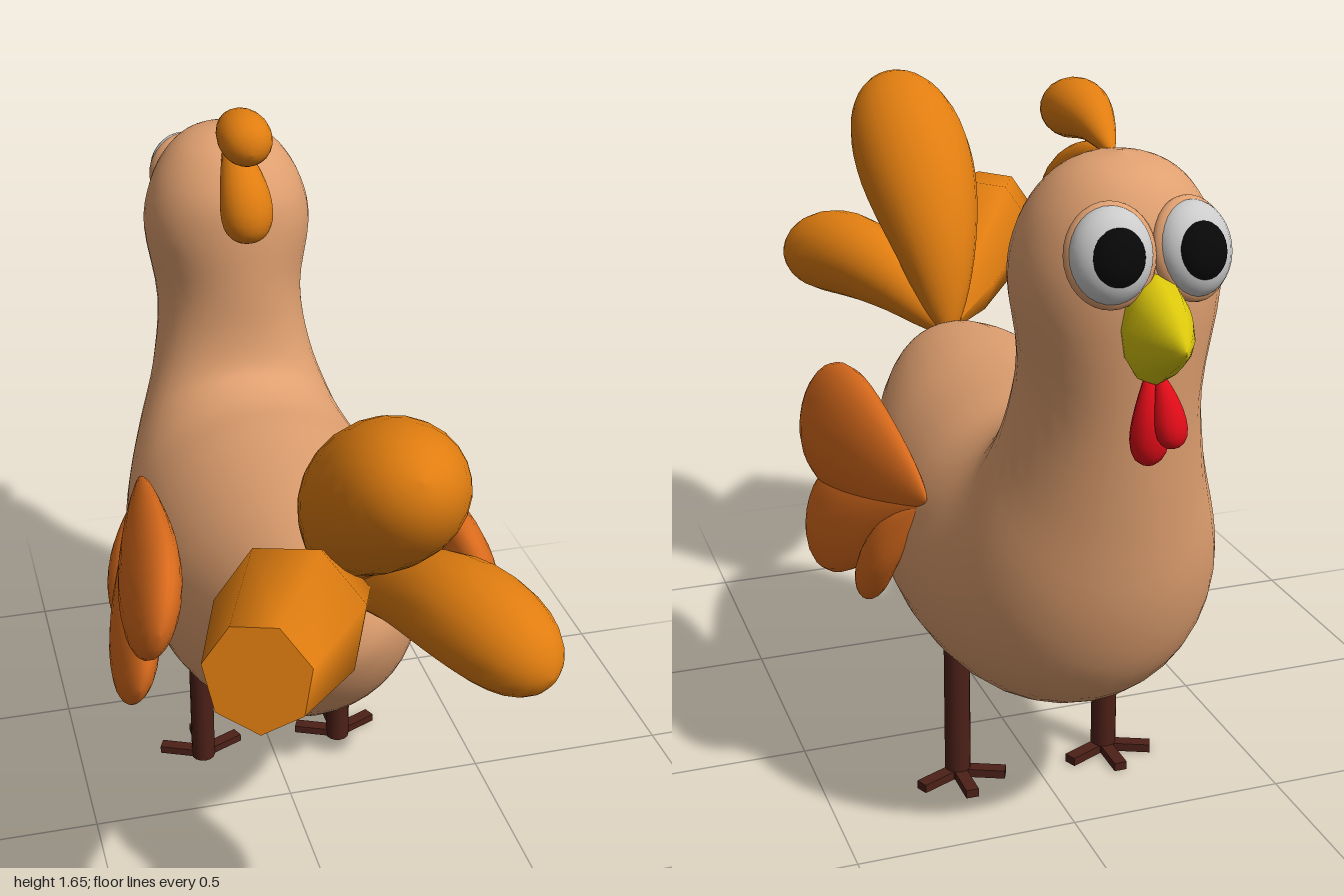
import * as THREE from 'three';

const V = (x, y, z) => new THREE.Vector3(x, y, z);
const mat = color => new THREE.MeshStandardMaterial({ color });
const SKIN = mat(0xe0a070), TAIL = mat(0xe07d10), WING = mat(0xd86a1c), LEG = mat(0x4c2018);
const BEAK = mat(0xdcc80c), RED = mat(0xe00c18), WHITE = mat(0xf0f0f0), BLACK = mat(0x080808);

// Skin a list of elliptical rings { c, u, v }, with u x v pointing along the list.
function loft(rings, sides) {
  const pos = [], index = [];
  rings.forEach(({ c, u, v }, i) => {
    for (let j = 0; j < sides; j++) {
      const a = (j / sides) * Math.PI * 2;
      const p = c.clone().addScaledVector(u, Math.cos(a)).addScaledVector(v, Math.sin(a));
      pos.push(p.x, p.y, p.z);
      if (i === rings.length - 1) continue;
      const k = (j + 1) % sides, a0 = i * sides + j, b0 = i * sides + k;
      index.push(a0, b0, a0 + sides, b0, b0 + sides, a0 + sides);
    }
  });
  const g = new THREE.BufferGeometry();
  g.setAttribute('position', new THREE.Float32BufferAttribute(pos, 3));
  g.setIndex(index);
  g.computeVertexNormals();
  return g;
}

// Loft from rows of [topZ, topY, bottomZ, bottomY, halfWidth], symmetric in x.
function profileLoft(rows, steps, sides) {
  const top = new THREE.CatmullRomCurve3(rows.map(r => V(r[4], r[1], r[0])), false, 'catmullrom');
  const low = new THREE.CatmullRomCurve3(rows.map(r => V(r[4], r[3], r[2])), false, 'catmullrom');
  const rings = [];
  for (let i = 0; i <= steps; i++) {
    const a = top.getPoint(i / steps), b = low.getPoint(i / steps);
    rings.push({
      c: V(0, (a.y + b.y) / 2, (a.z + b.z) / 2),
      u: V(-Math.max(a.x, 0), 0, 0),
      v: V(0, (a.y - b.y) / 2, (a.z - b.z) / 2),
    });
  }
  return loft(rings, sides);
}

// Teardrop feather along a path, round at the end; a lower power gives a fuller root.
function feather(points, wide, thick, side, power = 0.7, steps = 20, sides = 20) {
  const curve = new THREE.CatmullRomCurve3(points);
  const shape = t => Math.pow(t, power) * Math.sqrt(Math.max(0, 1 - Math.pow(t, 4)));
  const peak = shape(Math.pow(power / (power + 2), 0.25));
  const rings = [];
  for (let i = 0; i <= steps; i++) {
    const t = (1 - Math.cos((i / steps) * Math.PI)) / 2;
    const r = shape(t) / peak;
    const dir = curve.getTangent(t);
    const u = side.clone().addScaledVector(dir, -side.dot(dir)).normalize();
    const v = dir.clone().cross(u);
    rings.push({ c: curve.getPoint(t), u: u.multiplyScalar(wide * r), v: v.multiplyScalar(thick * r) });
  }
  return loft(rings, sides);
}

export function createModel() {
  const model = new THREE.Group();
  const add = (name, geometry, material, parent = model) => {
    const m = new THREE.Mesh(geometry, material);
    m.name = name;
    parent.add(m);
    return m;
  };

  // Body, neck and head in one skin, from rump to crown
  add('body', profileLoft([
    [0.485, 0.80, 0.485, 0.79, 0],
    [0.45, 0.875, 0.475, 0.71, 0.09],
    [0.39, 0.915, 0.41, 0.59, 0.155],
    [0.29, 0.94, 0.29, 0.46, 0.22],
    [0.15, 0.955, 0.12, 0.34, 0.28],
    [0, 0.96, -0.05, 0.28, 0.32],
    [-0.2, 0.96, -0.25, 0.267, 0.335],
    [-0.33, 0.955, -0.5, 0.31, 0.325],
    [-0.41, 0.975, -0.67, 0.42, 0.29],
    [-0.445, 1.01, -0.76, 0.6, 0.25],
    [-0.46, 1.09, -0.80, 0.82, 0.205],
    [-0.46, 1.2, -0.83, 1.05, 0.182],
    [-0.46, 1.33, -0.855, 1.28, 0.207],
    [-0.475, 1.42, -0.845, 1.41, 0.187],
    [-0.53, 1.5, -0.81, 1.49, 0.14],
    [-0.6, 1.543, -0.76, 1.535, 0.08],
    [-0.68, 1.557, -0.685, 1.557, 0],
  ], 64, 36), SKIN);

  // Beak
  add('beak', profileLoft([
    [-0.82, 1.36, -0.82, 1.16, 0.055],
    [-0.87, 1.36, -0.87, 1.155, 0.064],
    [-0.94, 1.322, -0.93, 1.195, 0.046],
    [-0.985, 1.28, -0.98, 1.23, 0.018],
    [-1.0, 1.255, -1.0, 1.25, 0],
  ], 16, 12), BEAK);

  // Wattle
  const X = V(1, 0, 0);
  add('wattleLarge', feather([V(0.005, 1.18, -0.85), V(0.008, 1.09, -0.865), V(0.008, 0.995, -0.862)], 0.038, 0.034, X, 0.7, 12, 12), RED);
  add('wattleSmall', feather([V(-0.01, 1.18, -0.86), V(-0.018, 1.11, -0.89), V(-0.022, 1.04, -0.91)], 0.032, 0.028, X, 0.7, 12, 12), RED);

  // Crest
  add('crestUpper', feather([V(0, 1.54, -0.64), V(0, 1.585, -0.54), V(0, 1.595, -0.45), V(0, 1.575, -0.36)], 0.064, 0.06, X), TAIL);
  add('crestLower', feather([V(0, 1.54, -0.63), V(0, 1.5, -0.51), V(0, 1.43, -0.43), V(0, 1.34, -0.42)], 0.063, 0.062, X), TAIL);

  // Tail: centre and left feathers are round, the right one is faceted and cut off
  add('tailFeatherCentre', feather([V(0, 0.87, 0.41), V(0, 1.09, 0.525), V(0, 1.255, 0.69), V(0, 1.425, 0.945)], 0.15, 0.145, X, 0.6, 24, 24), TAIL);
  add('tailFeatherLeft', feather([V(0, 0.88, 0.41), V(0.09, 0.975, 0.59), V(0.17, 1.01, 0.77), V(0.265, 0.975, 0.965)], 0.11, 0.11, V(1, 0, -0.4), 0.6), TAIL);
  const axis = V(-0.31, 0.16, 0.53).normalize();
  const across = V(-0.9, 0.1, -0.55).normalize();
  const upright = axis.clone().cross(across).normalize();
  const cut = [[0, 0.88, 0.41, 0], [-0.07, 0.96, 0.56, 0.1], [-0.19, 1.05, 0.755, 0.155],
    [-0.3, 1.065, 0.95, 0.108], [-0.3, 1.065, 0.95, 0.108], [-0.3, 1.065, 0.95, 0]];
  add('tailFeatherRight', loft(cut.map(([x, y, z, r]) => ({
    c: V(x, y, z),
    u: across.clone().multiplyScalar(r),
    v: upright.clone().multiplyScalar(r),
  })), 7), TAIL);

  const ball = new THREE.SphereGeometry(1, 24, 16);
  for (const s of [1, -1]) {
    const side = s > 0 ? 'left' : 'right';

    // Wing of three overlapping feathers, leaning outwards at the bottom
    const wing = new THREE.Group();
    wing.name = side + 'Wing';
    model.add(wing);
    const lean = V(s * 0.27, -1, 0);
    const w = (x, y, z) => V(s * x, y, z);
    add('wingFeatherLarge', feather([w(0.295, 0.765, -0.37), w(0.345, 0.77, -0.02), w(0.375, 0.765, 0.335)], 0.143, 0.062, lean), WING, wing);
    add('wingFeatherMiddle', feather([w(0.3, 0.75, -0.35), w(0.375, 0.605, -0.06), w(0.405, 0.535, 0.21)], 0.125, 0.05, lean), WING, wing);
    add('wingFeatherSmall', feather([w(0.305, 0.74, -0.34), w(0.355, 0.62, -0.25), w(0.37, 0.475, -0.135)], 0.066, 0.042, lean), WING, wing);

    // Eye with lid rim and pupil, turned outwards and up
    const eye = new THREE.Group();
    eye.name = side + 'Eye';
    eye.position.set(s * 0.082, 1.4, -0.838);
    eye.lookAt(s * 0.312, 1.68, -1.758);
    model.add(eye);
    const lid = add('eyelid', ball, SKIN, eye);
    lid.scale.set(0.086, 0.099, 0.035);
    lid.position.z = -0.008;
    add('eyeball', ball, WHITE, eye).scale.set(0.078, 0.09, 0.055);
    const pupil = add('pupil', ball, BLACK, eye);
    pupil.scale.set(0.05, 0.055, 0.03);
    pupil.position.set(s * 0.008, -0.005, 0.037);

    // Leg and three toes
    const leg = new THREE.Group();
    leg.name = side + 'Leg';
    leg.position.set(s * 0.183, 0, -0.215);
    model.add(leg);
    add('shin', new THREE.CylinderGeometry(0.03, 0.03, 0.33, 14).translate(0, 0.165, 0), LEG, leg);
    for (const angle of [-1.15, 0, 1.15]) {
      const toe = new THREE.BoxGeometry(0.03, 0.02, 0.112).translate(0, 0.01, -0.056);
      add('toe', toe, LEG, leg).rotation.y = angle;
    }
  }
  return model;
}
